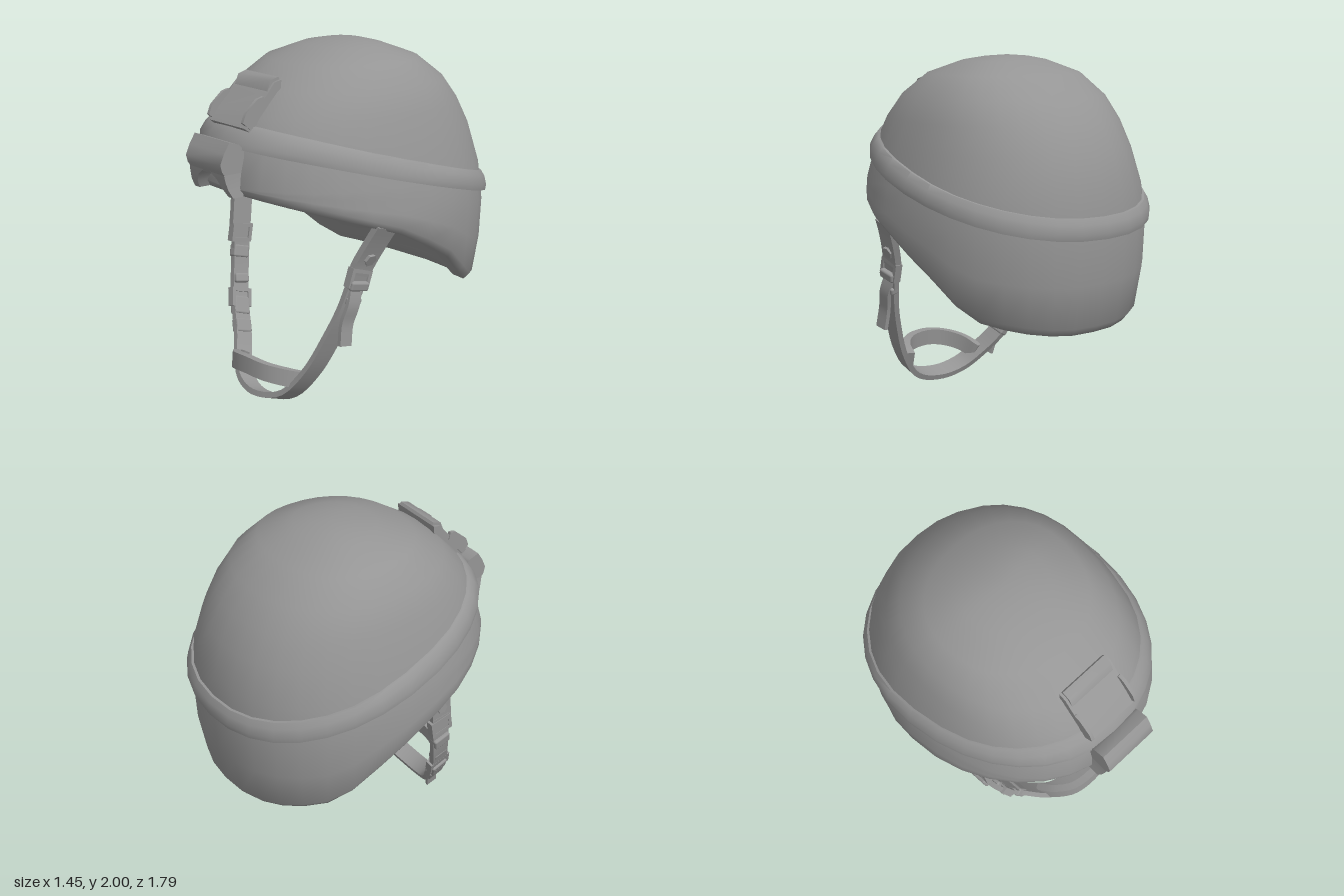
import * as THREE from 'three';
import { toCreasedNormals } from 'three/addons/utils/BufferGeometryUtils.js';
import { RoundedBoxGeometry } from 'three/addons/geometries/RoundedBoxGeometry.js';

const V = (x, y, z) => new THREE.Vector3(x, y, z);
const mat = new THREE.MeshStandardMaterial({ color: 0x959595, side: THREE.DoubleSide });
const SEG = 32, Z0 = -0.08;

function add(group, name, geometry) {
  const mesh = new THREE.Mesh(geometry, mat);
  mesh.name = name;
  group.add(mesh);
  return mesh;
}

// Skin a list of closed rings, each running counterclockwise around the direction of travel.
function loft(rings, crease = 0.8) {
  const n = rings[0].length, pos = [], idx = [];
  rings.forEach(r => r.forEach(p => pos.push(p.x, p.y, p.z)));
  for (let i = 0; i < rings.length - 1; i++) {
    for (let j = 0; j < n; j++) {
      const a = i * n + j, b = i * n + (j + 1) % n;
      idx.push(a, b, b + n, a, b + n, a + n);
    }
  }
  const g = new THREE.BufferGeometry();
  g.setAttribute('position', new THREE.Float32BufferAttribute(pos, 3));
  g.setIndex(idx);
  return toCreasedNormals(g, crease);
}

// Piecewise-linear lookup; the first column is the key.
function lookup(table, key) {
  let i = 0;
  while (i < table.length - 2 && key > table[i + 1][0]) i++;
  const a = table[i], b = table[i + 1];
  const t = THREE.MathUtils.clamp((key - a[0]) / (b[0] - a[0]), 0, 1);
  return a.map((v, k) => v + (b[k] - v) * t);
}

// Shell levels: height, reach to the front, reach to the back, half width.
const LEVELS = [
  [0.55, 0.82, 0.73, 0.66], [0.8, 0.84, 0.775, 0.71], [1.0, 0.86, 0.785, 0.72], [1.1, 0.87, 0.785, 0.725],
  [1.3, 0.875, 0.765, 0.695], [1.5, 0.83, 0.71, 0.635], [1.65, 0.74, 0.63, 0.59], [1.78, 0.62, 0.53, 0.53],
  [1.9, 0.44, 0.37, 0.42], [1.97, 0.24, 0.18, 0.24], [1.99, 0.12, 0.1, 0.13], [2, 0, 0, 0],
];
// Lower edge: z, height.
const RIM = [[-0.8, 0.55], [-0.46, 0.65], [-0.3, 0.82], [0, 0.99], [0.13, 1.05], [0.6, 1.2], [0.8, 1.26]];

// Point on the shell at an angle and height, pushed outward by out.
function shellPoint(angle, y, out = 0) {
  const [, f, b, w] = lookup(LEVELS, y);
  const s = Math.sin(angle), c = Math.cos(angle);
  const round = v => Math.sign(v) * Math.abs(v) ** 0.91;
  return V(Math.max(0, w + out) * round(s), y, Z0 + Math.max(0, (c > 0 ? f : b) + out) * round(c));
}

// Height at which the shell meets a surface given as y = rule(z).
function solveHeight(angle, rule) {
  let y = 1.1;
  for (let i = 0; i < 12; i++) y = rule(shellPoint(angle, y).z);
  return y;
}

const around = fn => Array.from({ length: SEG }, (_, j) => fn(j / SEG * Math.PI * 2));

// Dome with a rolled rim and a shallow lining across the opening
function shell() {
  const rimY = a => solveHeight(a, z => lookup(RIM, z)[1]);
  const upper = LEVELS.map(l => l[0]).filter(y => y >= 1.3);
  const lining = [0, 0.25, 0.5, 0.75, 0.92].map(t => around(a => {
    const p = shellPoint(a, rimY(a), -0.085);
    return V(p.x * t, THREE.MathUtils.lerp(1.04, p.y + 0.025, t ** 1.7), Z0 + (p.z - Z0) * t);
  }));
  const rim = [[-0.085, 0.02], [-0.025, 0]].map(([out, dy]) =>
    around(a => shellPoint(a, rimY(a), out).add(V(0, dy, 0))));
  const side = [0, 0.33, 0.67].map(t => around(a =>
    shellPoint(a, THREE.MathUtils.lerp(Math.min(rimY(a) + 0.04, 1.29), 1.3, t))));
  return loft([...lining, ...rim, ...side, ...upper.map(y => around(a => shellPoint(a, y)))], 1.45);
}

// Tilted band hugging the shell: section steps of height and outward offset.
function band() {
  const section = [[-0.06, -0.03], [-0.062, 0.022], [-0.03, 0.031], [0.02, 0.026], [0.052, 0.012], [0.058, -0.03]];
  return loft(section.map(([dy, out]) => around(a => {
    const y = solveHeight(a, z => 1.575 + (z - 0.75) * 0.275);
    return shellPoint(a, y + dy, out);
  })));
}

// Flat webbing along a smooth path; wide gives the direction across the strap.
function strap(points, width, thick, wide = V(0, 0.33, 0.94), steps = 40) {
  const curve = new THREE.CatmullRomCurve3(points.map(p => V(...p)));
  const rings = [];
  for (let i = 0; i <= steps; i++) {
    const p = curve.getPoint(i / steps), T = curve.getTangent(i / steps);
    const W = wide.clone().addScaledVector(T, -wide.dot(T)).normalize();
    const N = T.clone().cross(W);
    rings.push([[1, -1], [1, 1], [-1, 1], [-1, -1]].map(([u, v]) =>
      p.clone().addScaledVector(W, u * width / 2).addScaledVector(N, v * thick / 2)));
  }
  const cap = r => r.map(() => r[0].clone().lerp(r[2], 0.5));
  return loft([cap(rings[0]), ...rings, cap(rings[steps])]);
}

// Side profile of z, y points, extruded across x.
function profile(points, x0, x1) {
  const shape = new THREE.Shape(points.map(([z, y]) => new THREE.Vector2(-z, y)));
  const g = new THREE.ExtrudeGeometry(shape, { depth: x1 - x0, bevelEnabled: false });
  return toCreasedNormals(g.rotateY(Math.PI / 2).translate(x0, 0, 0), 0.9);
}

// Turn a part so its length follows the strap from a to b.
function align(mesh, a, b) {
  const T = V(...b).sub(V(...a)).normalize();
  const W = V(0, 0.33, 0.94);
  W.addScaledVector(T, -W.dot(T)).normalize();
  mesh.quaternion.setFromRotationMatrix(new THREE.Matrix4().makeBasis(W, T, W.clone().cross(T)));
  mesh.position.set(...a).lerp(V(...b), 0.5);
}

function frameGeometry(w, h, bar, depth) {
  const rect = (s, x, y) => s.moveTo(-x, -y).lineTo(x, -y).lineTo(x, y).lineTo(-x, y).closePath();
  const shape = rect(new THREE.Shape(), w / 2, h / 2);
  shape.holes.push(rect(new THREE.Path(), w / 2 - bar, h / 2 - bar));
  return new THREE.ExtrudeGeometry(shape, { depth, bevelEnabled: false }).translate(0, 0, -depth / 2);
}

export function createModel() {
  const model = new THREE.Group();
  model.name = 'helmet';
  add(model, 'shell', shell());
  add(model, 'band', band());

  // Upper mounting plate with side rails
  const mount = new THREE.Group();
  mount.name = 'upperMount';
  model.add(mount);
  add(mount, 'plate', profile([[0.68, 1.57], [0.735, 1.61], [0.68, 1.68], [0.59, 1.765], [0.535, 1.83], [0.49, 1.84], [0.5, 1.76]], -0.16, 0.16));
  add(mount, 'topLip', profile([[0.575, 1.78], [0.55, 1.84], [0.5, 1.855], [0.49, 1.84], [0.54, 1.81]], -0.145, 0.145));
  for (const s of [-1, 1]) {
    add(mount, 'rail', profile([[0.7, 1.6], [0.745, 1.64], [0.725, 1.69], [0.65, 1.755], [0.61, 1.765], [0.6, 1.72]], s * 0.155 - 0.01, s * 0.155 + 0.01));
  }

  // Lower clip with two splayed legs
  const clip = new THREE.Group();
  clip.name = 'lowerClip';
  model.add(clip);
  add(clip, 'clipBody', profile([[0.74, 1.37], [0.855, 1.365], [0.88, 1.4], [0.89, 1.44], [0.865, 1.495], [0.83, 1.55], [0.77, 1.53], [0.74, 1.5]], -0.16, 0.16));
  for (const s of [-1, 1]) {
    const ring = (x0, x1, y, z0, z1) => [V(x0, y, z0), V(x1, y, z0), V(x1, y, z1), V(x0, y, z1)]
      .map(p => V(p.x * s, p.y, p.z));
    const rings = [ring(0.14, 0.14, 1.255, 0.8, 0.8), ring(0.135, 0.178, 1.255, 0.76, 0.825), ring(0.115, 0.17, 1.3, 0.75, 0.85),
      ring(0.085, 0.163, 1.345, 0.74, 0.862), ring(0.03, 0.16, 1.38, 0.74, 0.868)];
    // Corners run clockwise on the +x side, so reverse there
    if (s > 0) rings.forEach(r => r.reverse());
    add(clip, 'clipLeg', loft(rings));
  }

  // Chin straps
  const straps = new THREE.Group();
  straps.name = 'chinStraps';
  model.add(straps);
  add(straps, 'mainStrap', strap([
    [0.57, 0.93, 0.24], [0.54, 0.78, 0.29], [0.51, 0.62, 0.34], [0.46, 0.47, 0.39], [0.36, 0.25, 0.46], [0.22, 0.09, 0.52],
    [0, 0.037, 0.55], [-0.15, 0.07, 0.53], [-0.25, 0.15, 0.48], [-0.35, 0.27, 0.41], [-0.46, 0.45, 0.35],
    [-0.53, 0.68, 0.29], [-0.545, 0.88, 0.27]], 0.11, 0.032, undefined, 56));
  add(straps, 'leftAnchor', strap([[0.655, 1.09, 0.19], [0.615, 1.01, 0.215], [0.56, 0.88, 0.26], [0.545, 0.82, 0.28]], 0.13, 0.04, undefined, 8));
  add(straps, 'rightAnchor', strap([[-0.56, 1.12, 0.25], [-0.55, 1.0, 0.26], [-0.54, 0.86, 0.28]], 0.13, 0.035, undefined, 8));
  add(straps, 'leftTail', strap([[0.535, 0.78, 0.29], [0.555, 0.66, 0.33], [0.54, 0.56, 0.36], [0.548, 0.44, 0.38]], 0.08, 0.024, undefined, 14));
  add(straps, 'rightTail', strap([[-0.46, 0.4, 0.36], [-0.4, 0.3, 0.39], [-0.33, 0.23, 0.42], [-0.3, 0.135, 0.44]], 0.07, 0.018, undefined, 14));
  add(straps, 'chinCup', strap([[-0.24, 0.14, 0.48], [-0.19, 0.19, 0.56], [-0.1, 0.225, 0.63], [0.03, 0.245, 0.65],
    [0.17, 0.235, 0.625], [0.25, 0.21, 0.55], [0.28, 0.18, 0.47]], 0.095, 0.045, V(0, 1, -0.1), 20));

  // Buckles, frames and keepers placed along the straps
  const frames = [
    [[0.55, 0.85, 0.27], [0.545, 0.75, 0.3]],
    [[-0.54, 0.86, 0.27], [-0.535, 0.76, 0.29]],
    [[-0.47, 0.49, 0.34], [-0.43, 0.39, 0.37]],
  ];
  for (const [a, b] of frames) align(add(straps, 'buckleFrame', frameGeometry(0.14, 0.11, 0.022, 0.045)), a, b);
  const blocks = [
    [[0.56, 0.79, 0.29], [0.55, 0.74, 0.3], 0.12], [[0.535, 0.7, 0.31], [0.525, 0.66, 0.32], 0.1],
    [[-0.545, 0.73, 0.28], [-0.53, 0.66, 0.3], 0.11], [[-0.495, 0.57, 0.32], [-0.475, 0.52, 0.33], 0.1],
    [[-0.46, 0.44, 0.35], [-0.41, 0.35, 0.38], 0.11], [[-0.39, 0.33, 0.39], [-0.35, 0.26, 0.41], 0.11],
  ];
  for (const [a, b, w] of blocks) {
    const length = V(...a).distanceTo(V(...b));
    align(add(straps, 'buckle', new RoundedBoxGeometry(w, length, 0.055, 2, 0.012)), a, b);
  }

  // Six-sided snaps on the anchors
  for (const [x, y, z, tilt] of [[0.59, 0.91, 0.245, 0.45], [-0.56, 0.95, 0.265, 0]]) {
    const snap = add(straps, 'snap', toCreasedNormals(new THREE.CylinderGeometry(0.033, 0.037, 0.035, 6), 0.5));
    snap.position.set(x, y, z);
    snap.rotation.z = Math.PI / 2 - tilt;
  }
  return model;
}
